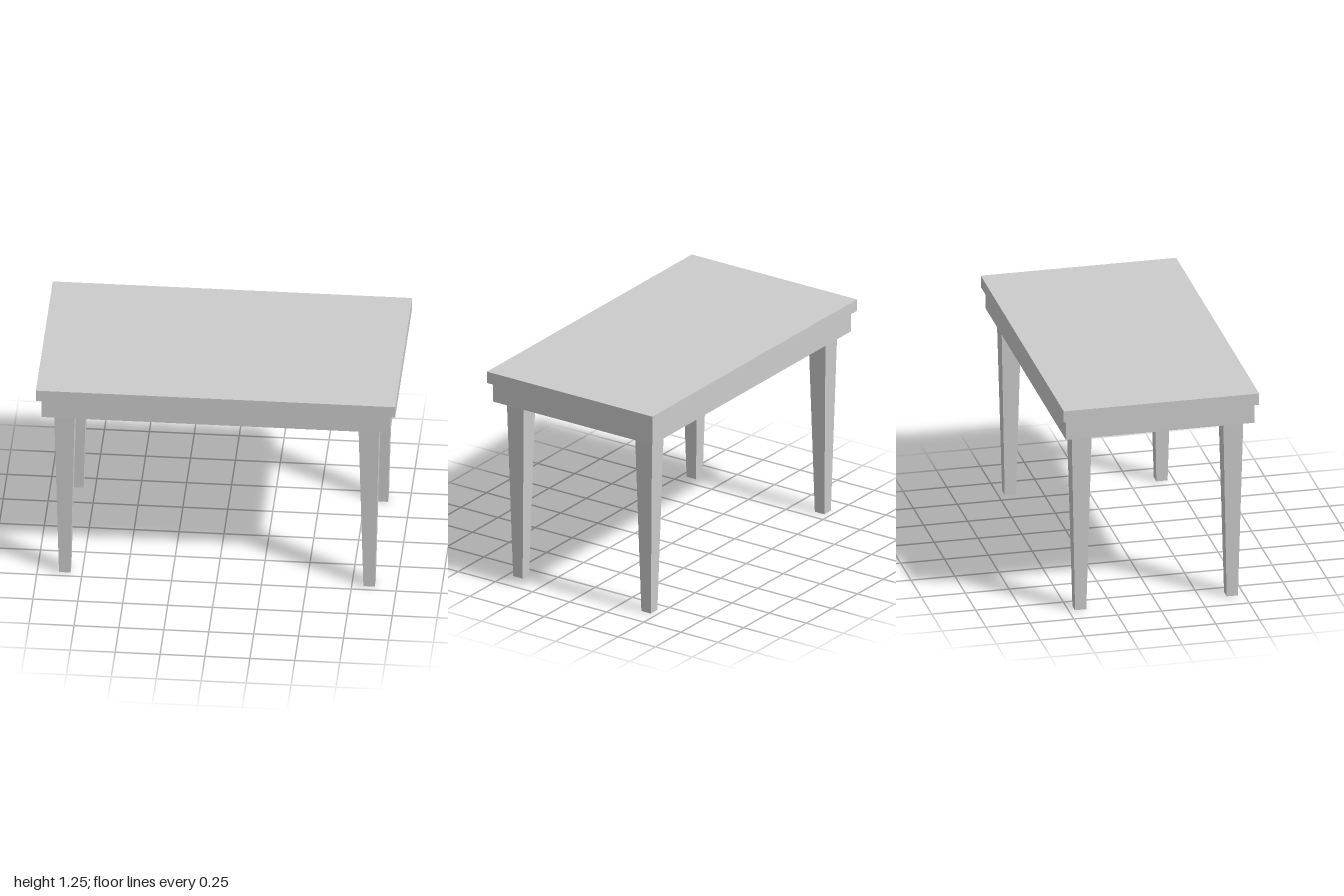
import * as THREE from 'three';

const material = new THREE.MeshStandardMaterial({ color: 0xcccccc, flatShading: true });

function addMesh(parent, name, geometry, x, y, z) {
  const mesh = new THREE.Mesh(geometry, material);
  mesh.name = name;
  mesh.position.set(x, y, z);
  parent.add(mesh);
  return mesh;
}

// Square post narrowing towards the foot, standing on y = 0
function taperedPost(height, topHalf, footHalf) {
  const geometry = new THREE.BoxGeometry(2, height, 2);
  geometry.translate(0, height / 2, 0);
  const p = geometry.attributes.position;
  for (let i = 0; i < p.count; i++) {
    const half = p.getY(i) > height / 2 ? topHalf : footHalf;
    p.setX(i, p.getX(i) * half);
    p.setZ(i, p.getZ(i) * half);
  }
  geometry.computeVertexNormals();
  return geometry;
}

function rectangle(PathType, halfX, halfZ) {
  return new PathType([
    new THREE.Vector2(-halfX, -halfZ),
    new THREE.Vector2(halfX, -halfZ),
    new THREE.Vector2(halfX, halfZ),
    new THREE.Vector2(-halfX, halfZ),
  ]);
}

export function createModel() {
  const table = new THREE.Group();
  table.name = 'table';

  const apronBottom = 1.068, topBottom = 1.186, topHeight = 0.068;

  // Tabletop slab
  addMesh(table, 'tabletop', new THREE.BoxGeometry(2, topHeight, 1.114),
    0, topBottom + topHeight / 2, 0);

  // Apron: a hollow frame under the top
  const outline = rectangle(THREE.Shape, 0.97, 0.537);
  outline.holes.push(rectangle(THREE.Path, 0.925, 0.492));
  const apron = new THREE.ExtrudeGeometry(outline, {
    depth: topBottom - apronBottom, bevelEnabled: false,
  });
  apron.rotateX(-Math.PI / 2);
  addMesh(table, 'apron', apron, 0, apronBottom, 0);

  // Four tapered legs reaching up to the underside of the top
  const leg = taperedPost(topBottom, 0.06, 0.032);
  for (const [side, x] of [['Left', 0.847], ['Right', -0.847]]) {
    for (const [end, z] of [['front', 0.432], ['back', -0.432]]) {
      addMesh(table, `${end}${side}Leg`, leg, x, 0, z);
    }
  }

  return table;
}
